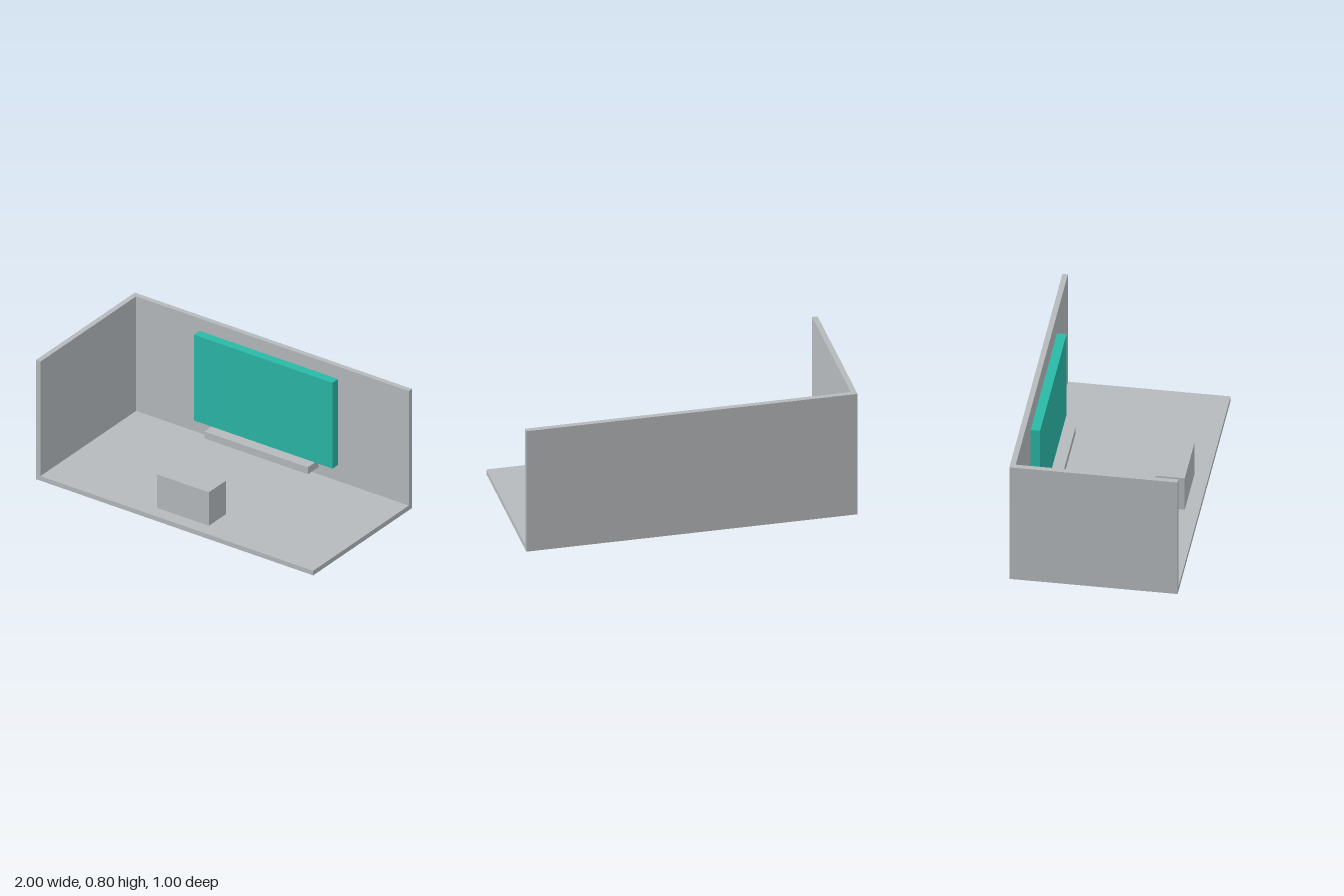
import * as THREE from 'three';

export function createModel() {
  const group = new THREE.Group();
  const grey = new THREE.MeshStandardMaterial({ color: 0xb6babd });
  grey.name = 'light grey';
  const teal = new THREE.MeshStandardMaterial({ color: 0x2ab8a6 });
  teal.name = 'teal';

  // Box given by its minimum and maximum corners
  function box(name, material, [x0, y0, z0], [x1, y1, z1]) {
    const mesh = new THREE.Mesh(new THREE.BoxGeometry(x1 - x0, y1 - y0, z1 - z0), material);
    mesh.position.set((x0 + x1) / 2, (y0 + y1) / 2, (z0 + z1) / 2);
    mesh.name = name;
    group.add(mesh);
  }

  // Room shell: floor and two walls
  box('floor', grey, [-1, 0, -0.5], [1, 0.031, 0.5]);
  box('backWall', grey, [-1, 0.031, -0.5], [1, 0.8, -0.467]);
  box('sideWall', grey, [-1, 0.031, -0.467], [-0.967, 0.8, 0.5]);

  // Wall screen with its rear panel, and the shelf under it
  box('screen', teal, [-0.5, 0.15, -0.453], [0.5, 0.726, -0.396]);
  box('screenBackPanel', grey, [-0.41, 0.284, -0.457], [0.41, 0.64, -0.453]);
  box('shelf', grey, [-0.373, 0.103, -0.434], [0.373, 0.15, -0.324]);

  // Free-standing block on the floor
  box('pedestal', grey, [-0.186, 0.031, 0.24], [0.186, 0.256, 0.414]);

  return group;
}
